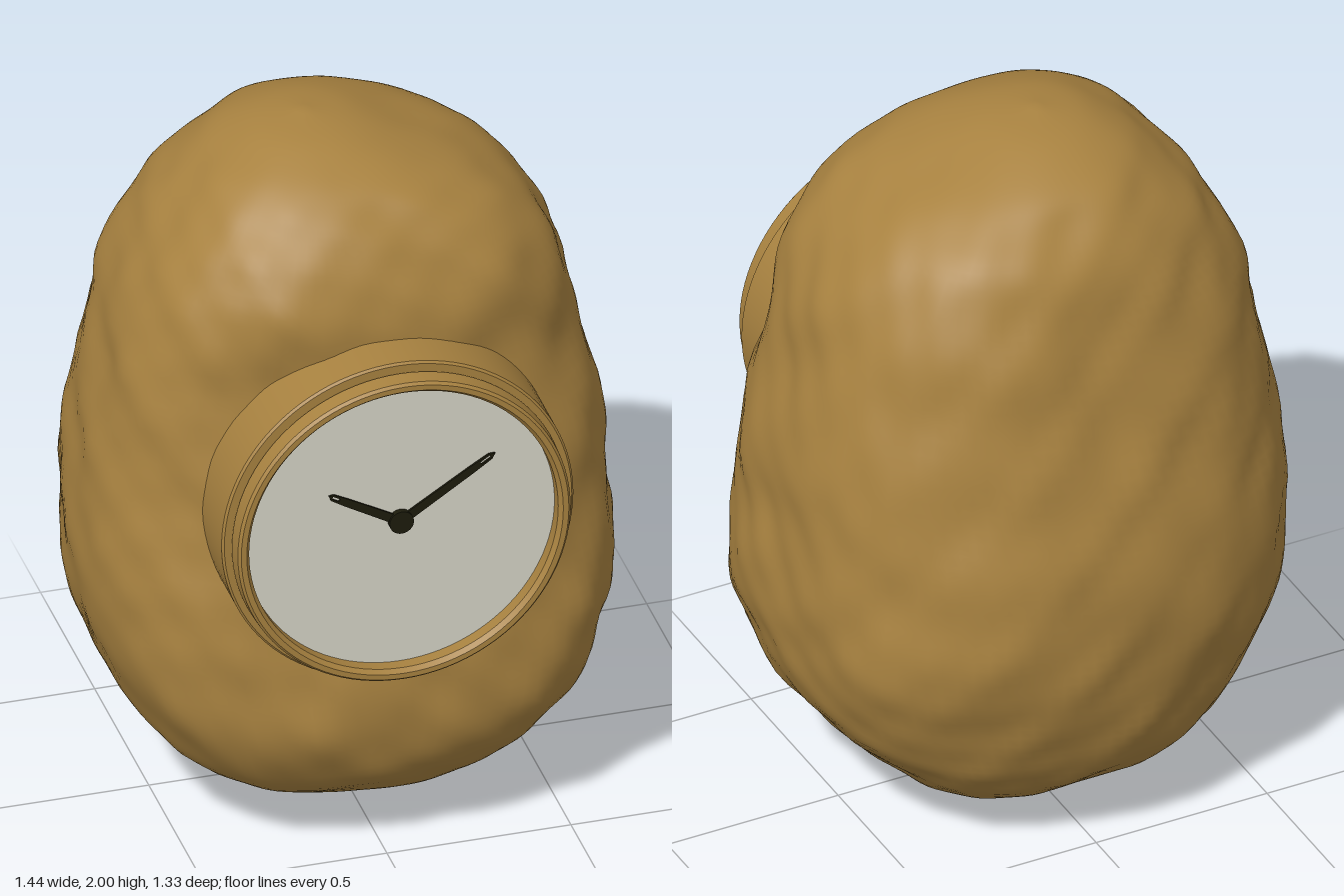
import * as THREE from 'three';
import { mergeVertices } from 'three/addons/utils/BufferGeometryUtils.js';

const mat = (name, color) => Object.assign(new THREE.MeshStandardMaterial({ color }), { name });

// Cross-sections of the lump, bottom to top: y, right x, left x, front z, back z
const SECTIONS = [
  [0, 0.1, 0.1, 0, 0],
  [0.015, -0.02, 0.2, 0.1, -0.12],
  [0.05, -0.2, 0.3, 0.23, -0.25],
  [0.13, -0.36, 0.41, 0.38, -0.41],
  [0.25, -0.52, 0.53, 0.51, -0.53],
  [0.4, -0.62, 0.64, 0.575, -0.6],
  [0.58, -0.69, 0.705, 0.575, -0.645],
  [0.75, -0.71, 0.715, 0.55, -0.66],
  [0.95, -0.7, 0.69, 0.515, -0.645],
  [1.15, -0.68, 0.68, 0.49, -0.6],
  [1.4, -0.63, 0.62, 0.475, -0.54],
  [1.6, -0.57, 0.565, 0.48, -0.485],
  [1.75, -0.485, 0.475, 0.43, -0.43],
  [1.85, -0.395, 0.35, 0.36, -0.355],
  [1.92, -0.31, 0.2, 0.28, -0.28],
  [1.975, -0.21, 0.06, 0.15, -0.15],
  [2, -0.08, -0.08, 0, 0],
];

// Smooth irregular bumps
function bumps(x, y, z) {
  const a = Math.sin(7 * x + 3 * y + 1) * Math.sin(6 * y - 4 * z) * Math.cos(7 * z + 2 * x);
  const b = Math.sin(15 * x - 6 * z + 2) * Math.sin(13 * y + 5 * x) * Math.cos(14 * z + 4 * y);
  const c = Math.sin(27 * x + 9 * y) * Math.sin(24 * y - 11 * z + 1) * Math.cos(25 * z + 8 * x);
  return 0.012 * a + 0.011 * b + 0.006 * c;
}

// Sphere vertices moved onto rounded-square cross-sections
function lumpGeometry() {
  const curve = (i, j) => new THREE.CatmullRomCurve3(
    SECTIONS.map((s) => new THREE.Vector3(s[i], s[0], s[j])), false, 'catmullrom', 0.5);
  const widths = curve(1, 2), depths = curve(3, 4);
  const geo = new THREE.SphereGeometry(1, 112, 96);
  const pos = geo.attributes.position, uv = geo.attributes.uv;
  for (let i = 0; i < pos.count; i++) {
    const t = THREE.MathUtils.clamp(uv.getY(i), 0, 1);
    const w = widths.getPoint(t), d = depths.getPoint(t);
    const angle = Math.atan2(pos.getZ(i), pos.getX(i));
    const c = Math.cos(angle), s = Math.sin(angle);
    const fade = Math.min(1, Math.sin(Math.PI * t) * 1.6);
    const n = 2 + (s > 0 ? 0.8 : 0.35) * fade;
    const r = Math.pow(Math.abs(c) ** n + Math.abs(s) ** n, -1 / n);
    const x = (w.x + w.z) / 2 + (w.z - w.x) / 2 * c * r;
    const z = (s > 0 ? d.x : -d.z) * s * r;
    const k = bumps(x, w.y, z) * fade;
    pos.setXYZ(i, x + c * k, w.y, z + s * k);
  }
  geo.deleteAttribute('uv');
  geo.deleteAttribute('normal');
  const smooth = mergeVertices(geo, 1e-5);
  smooth.computeVertexNormals();
  return smooth;
}

// Turned ring facing +z; points are [radius, z], one band per segment for crisp edges
function turned(points, material, name) {
  const group = new THREE.Group();
  group.name = name;
  for (let i = 0; i < points.length - 1; i++) {
    const band = new THREE.LatheGeometry(
      [points[i], points[i + 1]].map(([r, z]) => new THREE.Vector2(r, z)), 96);
    band.rotateX(Math.PI / 2);
    const mesh = new THREE.Mesh(band, material);
    mesh.name = name + 'Band';
    group.add(mesh);
  }
  return group;
}

// Tapered hand with a pointed tip and a slim slot near its end
function hand(length, angle, material, name) {
  const points = (list) => list.map(([x, y]) => new THREE.Vector2(x * length, y));
  const outline = new THREE.Shape(points([
    [0, -0.013], [0.75, -0.011], [0.95, -0.009], [1, 0], [0.95, 0.009], [0.75, 0.011], [0, 0.013],
  ]));
  outline.holes.push(new THREE.Path(points([
    [0.85, -0.004], [0.85, 0.004], [0.95, 0.004], [0.95, -0.004],
  ])));
  const mesh = new THREE.Mesh(
    new THREE.ExtrudeGeometry(outline, { depth: 0.006, bevelEnabled: false }), material);
  mesh.rotation.z = angle;
  mesh.name = name;
  return mesh;
}

export function createModel() {
  const clay = mat('ochre clay', 0xa88240);
  const ivory = mat('ivory dial', 0xd6d4c6);
  const black = mat('dark hands', 0x1c1b0c);
  const model = new THREE.Group();
  model.name = 'lumpClock';

  const body = new THREE.Mesh(lumpGeometry(), clay);
  body.name = 'body';
  model.add(body);

  // Clock housing, stepped rim and dial
  const clock = new THREE.Group();
  clock.name = 'clock';
  clock.position.y = 1.08;
  clock.add(turned([[0.478, 0.3], [0.478, 0.597], [0.472, 0.603], [0.446, 0.603]], clay, 'housing'));
  clock.add(turned([[0.446, 0.603], [0.455, 0.615], [0.452, 0.66], [0.445, 0.668],
    [0.43, 0.668], [0.42, 0.655], [0.42, 0.615]], clay, 'rim'));
  const dial = new THREE.Mesh(new THREE.CircleGeometry(0.421, 96), ivory);
  dial.position.z = 0.62;
  dial.name = 'dial';
  clock.add(dial);

  // Hands and centre cap
  const hands = new THREE.Group();
  hands.name = 'hands';
  hands.position.set(0, 0.012, 0.626);
  hands.add(hand(0.225, Math.PI - 0.51, black, 'hourHand'));
  hands.add(hand(0.305, 0.575, black, 'minuteHand'));
  const cap = new THREE.Mesh(new THREE.CylinderGeometry(0.033, 0.033, 0.016, 32), black);
  cap.rotation.x = Math.PI / 2;
  cap.position.z = 0.004;
  cap.name = 'centreCap';
  hands.add(cap);
  clock.add(hands);
  model.add(clock);
  return model;
}
